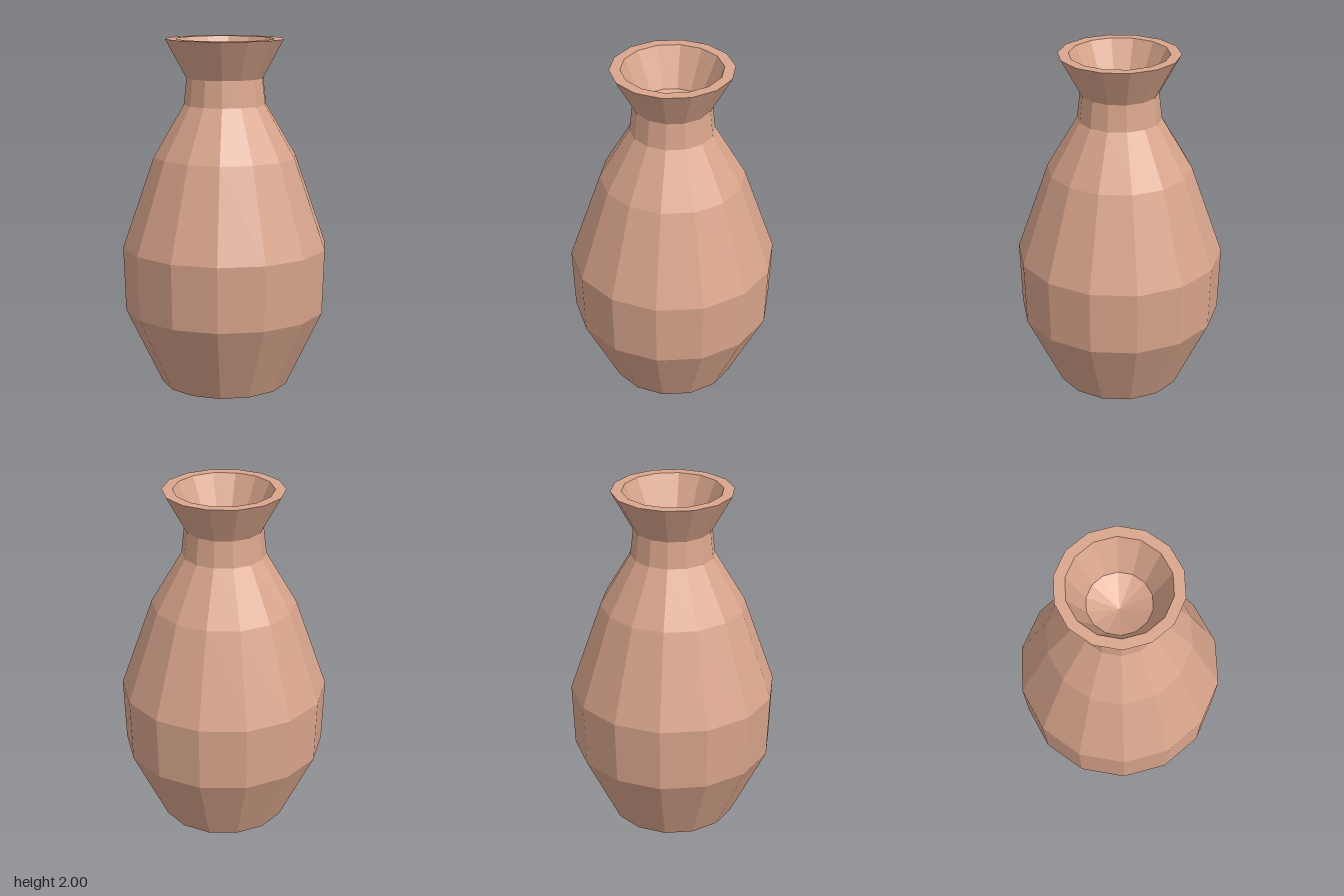
import * as THREE from 'three';

const SIDES = 14;

// Faceted ring surface from [radius, height] points, corners lying on the x axis
function turned(name, profile, material) {
  const points = profile.map(([r, y]) => new THREE.Vector2(r, y));
  const geometry = new THREE.LatheGeometry(points, SIDES, Math.PI / 2);
  const mesh = new THREE.Mesh(geometry, material);
  mesh.name = name;
  return mesh;
}

export function createModel() {
  const clay = new THREE.MeshStandardMaterial({ color: 0xd9a58c });
  clay.name = 'clay';
  clay.flatShading = true;

  const vase = new THREE.Group();
  vase.name = 'vase';

  // Closed base, belly and shoulder
  vase.add(turned('body', [
    [0, 0], [0.37, 0], [0.58, 0.445], [0.592, 0.815], [0.41, 1.335], [0.237, 1.63],
  ], clay));

  // Narrow neck and flared lip
  vase.add(turned('neck', [[0.237, 1.63], [0.22, 1.78], [0.34, 2]], clay));

  // Flat rim around the opening
  vase.add(turned('rim', [[0.34, 2], [0.28, 2]], clay));

  // Inner funnel ending in a shallow cone
  vase.add(turned('mouth', [[0.28, 2], [0.178, 1.78], [0, 1.7]], clay));

  return vase;
}
